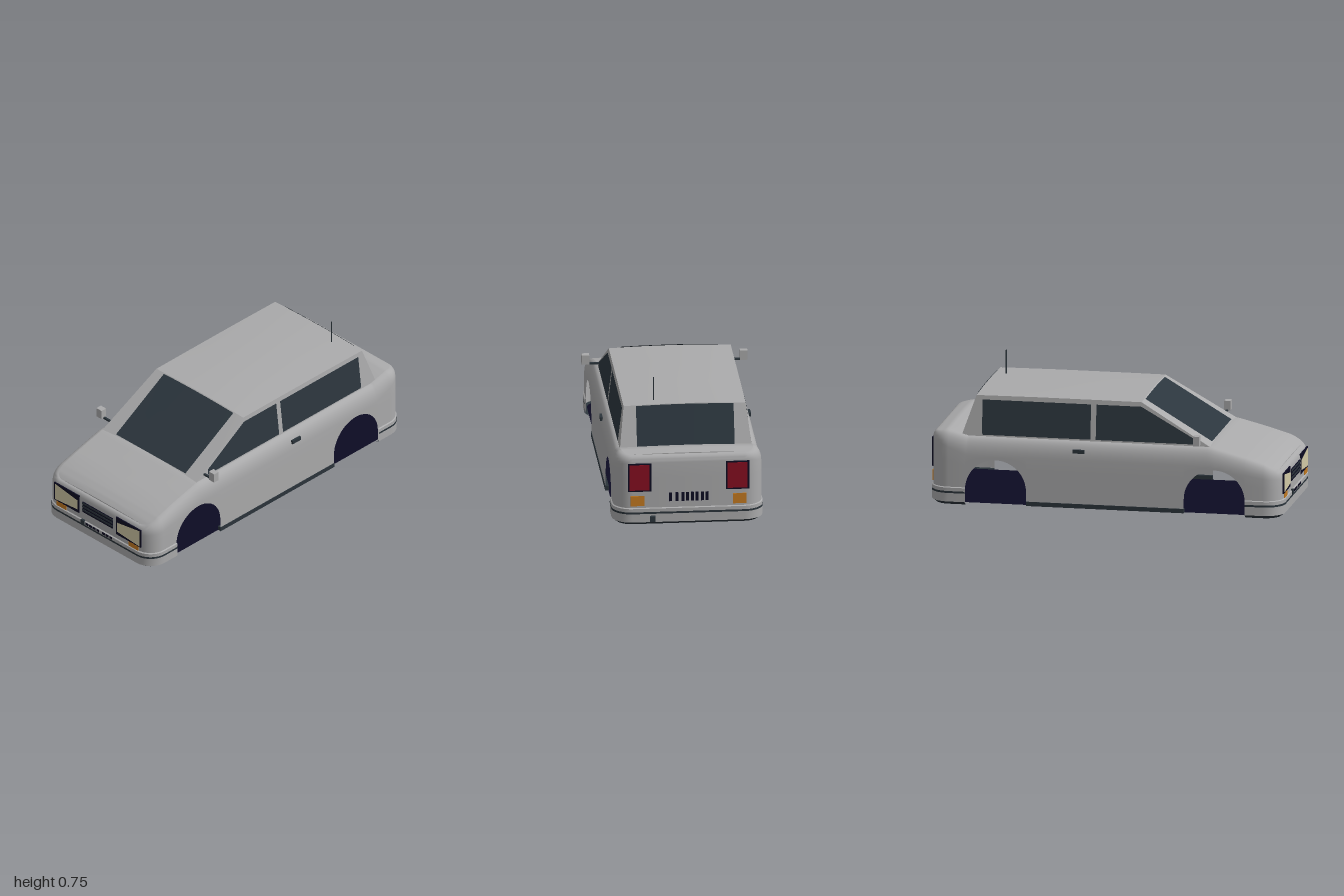
import * as THREE from 'three';
import { toCreasedNormals } from 'three/addons/utils/BufferGeometryUtils.js';

const mat = (name, color, side = THREE.DoubleSide) => {
  const m = new THREE.MeshStandardMaterial({ color, side });
  m.name = name;
  return m;
};

// Surface through rows of [x, y, z] points
function sheet(rows, crease = 0.6) {
  const n = rows[0].length, idx = [];
  for (let i = 0; i < rows.length - 1; i++)
    for (let j = 0; j < n - 1; j++) {
      const a = i * n + j, b = a + n;
      idx.push(a, b, b + 1, a, b + 1, a + 1);
    }
  const g = new THREE.BufferGeometry();
  g.setAttribute('position', new THREE.Float32BufferAttribute(rows.flat(2), 3));
  g.setIndex(idx);
  return toCreasedNormals(g, crease);
}

// Flat convex polygon
function poly(pts) {
  const g = new THREE.BufferGeometry(), tri = [];
  for (let i = 1; i < pts.length - 1; i++) tri.push(pts[0], pts[i], pts[i + 1]);
  g.setAttribute('position', new THREE.Float32BufferAttribute(tri.flat(), 3));
  g.computeVertexNormals();
  return g;
}

// Piecewise linear lookup, keys descending
function lookup(table, z) {
  for (let i = 0; i < table.length - 1; i++) {
    const [z0, v0] = table[i], [z1, v1] = table[i + 1];
    if (z >= z1) return v0 + (v1 - v0) * Math.min(1, Math.max(0, (z0 - z) / (z0 - z1)));
  }
  return table[table.length - 1][1];
}

const W = 0.408, ARCH = 0.61, R = 0.17;
const topY = z => lookup([[0.98, 0.258], [0.95, 0.274], [0.85, 0.31], [0.7, 0.35], [0.58, 0.38],
  [-0.77, 0.382], [-0.83, 0.402], [-0.89, 0.412], [-0.975, 0.4]], z);
const shoulder = z => lookup([[0.98, 0.05], [0.85, 0.085], [0.6, 0.1], [-0.85, 0.1], [-0.975, 0.04]], z);
const bottomY = z => {
  const d = Math.abs(Math.abs(z) - ARCH);
  return d <= R + 1e-6 ? 0.09 + Math.sqrt(Math.max(0, R * R - d * d)) : 0.02;
};

// Half outline of the body seen from above, front centre to rear centre
function halfOutline() {
  const pts = [], corner = 0.1, cx = W - corner;
  const arc = (zc, from) => {
    for (let k = 0; k <= 8; k++) {
      const a = from + (k / 8) * Math.PI / 2, nx = Math.sin(a), nz = Math.cos(a);
      pts.push({ x: cx + corner * nx, z: zc + corner * nz, nx, nz });
    }
  };
  const side = z => pts.push({ x: W, z, nx: 1, nz: 0 });
  const arch = c => {
    side(c + R + 0.0005);
    for (let k = 0; k <= 24; k++) side(c + R * Math.cos((k / 24) * Math.PI));
    side(c - R - 0.0005);
  };
  pts.push({ x: 0, z: 0.98, nx: 0, nz: 1 });
  arc(0.88, 0);
  arch(ARCH);
  [0.3, 0.15, 0, -0.15, -0.3].forEach(side);
  arch(-ARCH);
  arc(-0.875, Math.PI / 2);
  pts.push({ x: 0, z: -0.975, nx: 0, nz: -1 });
  return pts;
}

export function createModel() {
  const car = new THREE.Group();
  car.name = 'car';
  const paint = mat('body grey', 0xaaaaab), glass = mat('dark glass', 0x2c363e),
    navy = mat('navy black', 0x0c0b22), trim = mat('slate trim', 0x2b343b),
    cream = mat('headlight cream', 0xd2caa6), amber = mat('amber', 0xc47a20), red = mat('tail red', 0x860f20);
  const add = (name, geo, material) => {
    const m = new THREE.Mesh(geo, material);
    m.name = name;
    car.add(m);
    return m;
  };
  const box = (name, material, x0, x1, y0, y1, z0, z1) =>
    add(name, new THREE.BoxGeometry(x1 - x0, y1 - y0, z1 - z0), material)
      .position.set((x0 + x1) / 2, (y0 + y1) / 2, (z0 + z1) / 2);

  const half = halfOutline();
  const flip = p => ({ ...p, x: -p.x, nx: -p.nx });
  const mirrored = half.map(flip).reverse();
  const out = (p, y, o, oz = o) => [p.x + p.nx * o, y, p.z + p.nz * oz];

  // Hollow body side wall with wheel arches and rounded shoulder
  const wallColumn = p => {
    const col = [], top = topY(p.z), d = shoulder(p.z), b = bottomY(p.z);
    for (let k = 0; k < 4; k++) col.push(out(p, b + (top - d - b) * k / 4, 0));
    for (let k = 0; k <= 6; k++) {
      const a = (k / 6) * Math.PI / 2, c = Math.cos(a) - 1;
      col.push(out(p, top - d + d * Math.sin(a), 0.045 * c, 0.028 * c));
    }
    return col;
  };
  add('bodyShell', sheet([...half, ...mirrored.slice(1)].map(wallColumn)), paint);

  // Bonnet, waist and rear deck
  const across = [1, 0.75, 0.5, 0.25, 0, -0.25, -0.5, -0.75, -1];
  add('bonnetAndDeck', sheet(half.map(p => {
    const [x, y, z] = out(p, topY(p.z), -0.045, -0.028);
    return across.map(s => [Math.max(0, x) * s, y + 0.006 * (1 - s * s) * Math.min(1, x / 0.36), z]);
  })), paint);

  // Floor pan
  add('floor', poly([...half, ...mirrored.slice(1, -1)].map(p => out(p, 0.014, -0.015))), navy);

  // Bumpers, each a stack of bands
  const bands = [['Lip', trim, [[0, -0.018], [0.018, 0.006]]], ['Lower', paint, [[0.018, 0.007], [0.066, 0.007]]],
    ['Stripe', trim, [[0.066, 0.008], [0.077, 0.008]]],
    ['Upper', paint, [[0.077, 0.007], [0.096, 0.007], [0.101, -0.002]]]];
  const reach = ARCH + R;
  const ends = {
    frontBumper: [...mirrored.filter(p => p.z >= reach), ...half.filter(p => p.z >= reach).slice(1)],
    rearBumper: [...half.filter(p => p.z <= -reach), ...mirrored.filter(p => p.z <= -reach).slice(1)],
  };
  for (const [name, path] of Object.entries(ends))
    for (const [part, material, rows] of bands)
      add(name + part, sheet(path.map(p => rows.map(([y, o]) => out(p, y, o)))), material);

  // Cabin: windscreen frame, roof and rear frame in one sheet
  const cabinRow = ([z, y, w, crown], half = w) =>
    across.map(s => [half * s, y + crown * (1 - (half * s / w) ** 2), z]);
  const cabin = [[0.585, 0.375, 0.363, 0], [0.19, 0.607, 0.335, 0.008], [-0.06, 0.608, 0.335, 0.012],
    [-0.4, 0.608, 0.335, 0.012], [-0.73, 0.605, 0.335, 0.008], [-0.81, 0.375, 0.363, 0]];
  add('roofAndPillars', sheet(cabin.map(r => cabinRow(r)), 0.3), paint);

  // Front and rear glass
  const mix = (a, b, t, dy, dz) => a.map((v, i) => v + (b[i] - v) * t + [dz, dy, 0, 0][i]);
  const pane = (name, a, b, dy, dz) => add(name,
    sheet([mix(a, b, 0.045, dy, dz), mix(a, b, 0.985, dy, dz)].map(r => cabinRow(r, 0.268))), glass);
  pane('windscreen', cabin[0], cabin[1], 0.004, 0.003);
  pane('rearWindow', cabin[5], cabin[4], 0.001, -0.004);

  for (const s of [1, -1]) {
    const side = s > 0 ? 'left' : 'right';
    // Cabin sides with two windows each
    const onSide = (z, y, o = 0) => [s * (0.335 + (0.607 - y) * 0.121 + o), y, z];
    add(side + 'CabinSide', poly([[0.585, 0.375], [0.19, 0.607], [-0.06, 0.608], [-0.4, 0.608], [-0.73, 0.605], [-0.81, 0.375]]
      .map(([z, y]) => onSide(z, y))), paint);
    add(side + 'FrontWindow', poly([[0.49, 0.39], [0.49, 0.42], [0.19, 0.583], [-0.06, 0.583], [-0.06, 0.39]]
      .map(([z, y]) => onSide(z, y, 0.003))), glass);
    add(side + 'RearWindow', poly([[-0.09, 0.39], [-0.09, 0.583], [-0.695, 0.583], [-0.695, 0.4], [-0.69, 0.39]]
      .map(([z, y]) => onSide(z, y, 0.003))), glass);

    // Sill, door handle and mirror
    const bx = (name, m, x0, x1, ...r) => box(side + name, m, Math.min(s * x0, s * x1), Math.max(s * x0, s * x1), ...r);
    bx('Sill', trim, 0.39, 0.411, 0.012, 0.036, -0.44, 0.44);
    bx('DoorHandle', trim, 0.4, 0.414, 0.32, 0.34, -0.18, -0.115);
    bx('MirrorArm', trim, 0.35, 0.43, 0.398, 0.408, 0.51, 0.522);
    bx('Mirror', paint, 0.414, 0.455, 0.402, 0.456, 0.5, 0.535);

    // Headlamp with tapered lens, indicators and tail lamps
    bx('HeadlampFrame', navy, 0.143, 0.335, 0.128, 0.241, 0.976, 0.983);
    add(side + 'HeadlampLens', poly([[0.327, 0.134], [0.327, 0.236], [0.153, 0.209], [0.153, 0.149]]
      .map(([x, y]) => [s * x, y, 0.985])), cream);
    bx('FrontIndicator', amber, 0.24, 0.315, 0.1, 0.128, 0.976, 0.984);
    bx('TailLampFrame', navy, 0.205, 0.333, 0.195, 0.358, -0.979, -0.972);
    bx('TailLamp', red, 0.214, 0.324, 0.203, 0.35, -0.981, -0.977);
    bx('RearIndicator', amber, 0.243, 0.318, 0.112, 0.17, -0.98, -0.972);
  }

  // Grille with slats
  box('grille', navy, -0.117, 0.117, 0.15, 0.217, 0.977, 0.983);
  for (const y of [0.166, 0.187, 0.208]) box('grilleSlat', trim, -0.117, 0.117, y - 0.005, y + 0.005, 0.98, 0.985);

  // Small slots on the front bumper and tailgate
  for (const x of [-0.076, -0.048, -0.02, 0.008, 0.053, 0.08, 0.108])
    box('frontSlot', navy, x - 0.01, x + 0.01, 0.081, 0.095, 0.984, 0.989);
  for (const x of [-0.1, -0.075, -0.045, -0.02, 0.005, 0.03, 0.065, 0.1])
    box('rearSlot', navy, x - 0.008, x + 0.008, 0.135, 0.185, -0.979, -0.973);

  // Towing points and aerial
  box('frontTowPoint', trim, -0.121, -0.096, 0.073, 0.103, 0.975, 0.992);
  box('rearTowPoint', trim, 0.183, 0.213, 0.025, 0.055, -1, -0.97);
  add('aerial', new THREE.CylinderGeometry(0.003, 0.003, 0.135, 8), trim).position.set(0.165, 0.678, -0.665);
  return car;
}
